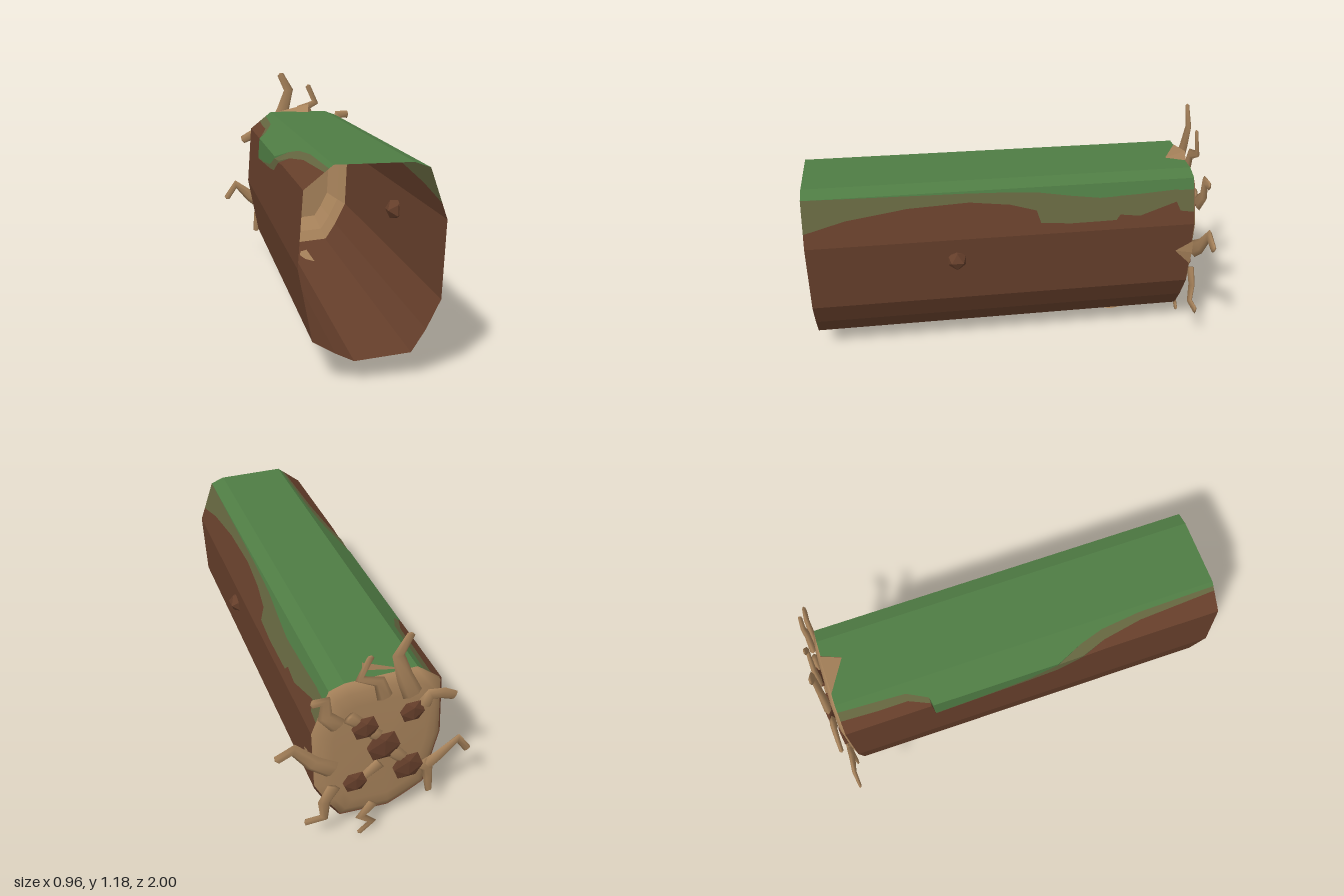
import * as THREE from 'three';

const mat = (name, color) => new THREE.MeshStandardMaterial({ name, color, side: THREE.DoubleSide });

// cross-section of the log, clockwise from the top left
const OUTLINE = [[-0.19, 0.95], [0.15, 0.95], [0.22, 0.925], [0.297, 0.7], [0.28, 0.35], [0.215, 0.22],
  [0.15, 0.12], [-0.1, 0.1], [-0.18, 0.14], [-0.28, 0.2], [-0.34, 0.52], [-0.315, 0.85]];
const CX = -0.02, CY = 0.53;

const scaled = (x, y, z, s) => [CX + (x - CX) * s, CY + (y - CY) * s, z];
// the log narrows very slightly toward the back
const onLog = (x, y, z) => scaled(x, y, z, 1 - 0.012 * (1 - z) / 1.93);

// surface through rows of points; closed joins each row's ends
function skin(rows, closed, flat) {
  const n = rows[0].length, pos = rows.flat(2), idx = [];
  for (let i = 0; i + 1 < rows.length; i++) {
    for (let j = 0; j < (closed ? n : n - 1); j++) {
      const a = i * n + j, b = i * n + (j + 1) % n, c = a + n, d = b + n;
      idx.push(a, b, c, b, d, c);
    }
  }
  let g = new THREE.BufferGeometry();
  g.setAttribute('position', new THREE.Float32BufferAttribute(pos, 3));
  g.setIndex(idx);
  if (flat) g = g.toNonIndexed();
  g.computeVertexNormals();
  return g;
}

// flattened, tapering root along a kinked path
function rootGeometry(path, r0, r1) {
  const pts = path.map(([x, y]) => new THREE.Vector2(x, y));
  const rows = [];
  const ring = (p, dir, r) => {
    const row = [];
    for (let k = 0; k < 6; k++) {
      const a = k / 6 * Math.PI * 2, s = Math.cos(a) * r;
      row.push([p.x - dir.y * s, p.y + dir.x * s, -0.977 + Math.sin(a) * r * 0.42]);
    }
    rows.push(row);
  };
  pts.forEach((p, i) => {
    const before = pts[Math.max(i - 1, 0)], after = pts[Math.min(i + 1, pts.length - 1)];
    const d1 = p.clone().sub(before).normalize(), d2 = after.clone().sub(p).normalize();
    const dir = d1.add(d2).normalize();
    const r = r0 + (r1 - r0) * i / (pts.length - 1);
    if (i === 0) ring(p, dir, 0.001);
    ring(p, dir, r);
    if (i === pts.length - 1) ring(p.clone().addScaledVector(dir, 0.008), dir, 0.001);
  });
  return skin(rows, true, false);
}

export function createModel() {
  const bark = mat('bark brown', 0x663f2b);
  const wood = mat('pale wood', 0xa8835b);
  const moss = mat('moss green', 0x4f7c44);
  const thinMoss = mat('thin olive moss', 0x64653f);
  const model = new THREE.Group();
  model.name = 'hollowLog';
  const add = (name, geometry, material, parent = model) => {
    const m = new THREE.Mesh(geometry, material);
    m.name = name;
    parent.add(m);
    return m;
  };

  // open shell: mossy top and bark underside
  const lengthwise = points => skin([1, -0.93].map(z => points.map(([x, y]) => onLog(x, y, z))), false, true);
  add('mossTop', lengthwise(OUTLINE.slice(0, 2)), moss);
  add('barkUnderside', lengthwise(OUTLINE.slice(3, 11)), bark);

  // each flank is moss, thin moss and bark in ragged bands: [z, end of moss, end of thin moss]
  const flanks = [
    { side: 'Left', corners: OUTLINE.slice(1, 4),
      edge: [[1, 0.925, 0.77], [0.8, 0.922, 0.82], [0.5, 0.918, 0.86], [0.2, 0.914, 0.872], [0, 0.908, 0.85],
        [-0.13, 0.9, 0.815], [-0.15, 0.898, 0.755], [-0.3, 0.875, 0.743], [-0.45, 0.856, 0.744], [-0.53, 0.858, 0.745],
        [-0.55, 0.86, 0.77], [-0.65, 0.863, 0.758], [-0.84, 0.874, 0.815], [-0.86, 0.87, 0.77], [-0.93, 0.87, 0.76]] },
    { side: 'Right', corners: [OUTLINE[0], OUTLINE[11], OUTLINE[10]],
      edge: [[1, 0.935, 0.92], [0.6, 0.93, 0.905], [0.4, 0.915, 0.88], [0.28, 0.89, 0.84], [0.15, 0.84, 0.78],
        [0, 0.785, 0.765], [-0.25, 0.755, 0.75], [-0.49, 0.74, 0.735], [-0.5, 0.88, 0.86], [-0.6, 0.915, 0.89],
        [-0.75, 0.92, 0.89], [-0.93, 0.925, 0.895]] },
  ];
  for (const { side, corners: [a, b, c], edge } of flanks) {
    const onSide = y => {
      const [p, q] = y > b[1] ? [a, b] : [b, c];
      return p[0] + (q[0] - p[0]) * (p[1] - y) / (p[1] - q[1]);
    };
    [['moss', moss], ['thinMoss', thinMoss], ['bark', bark]].forEach(([name, material], band) => {
      add(name + side, skin(edge.map(([z, mid, low]) => {
        const levels = [a[1], mid, low, c[1]], hi = levels[band], lo = levels[band + 1];
        return [hi, Math.min(hi, Math.max(lo, b[1])), lo].map(y => onLog(onSide(y), y, z));
      }), false, true), material);
    });
  }

  // pale wood closing the back: rounded outside, faceted bowl inside
  const loft = (steps, flat) => skin(steps.map(([s, z]) => OUTLINE.map(([x, y]) => scaled(x, y, z, s))), true, flat);
  add('rootPlate', loft([[0.98, -0.9], [0.965, -0.932], [0.86, -0.95], [0.7, -0.961], [0.001, -0.965]], false), wood);
  add('innerBowl', loft([[0.965, -0.86], [0.82, -0.89], [0.64, -0.952], [0.001, -0.952]], true), wood);

  // crooked roots around the back
  const roots = [
    [[[-0.15, 0.84], [-0.105, 0.95], [-0.068, 1.075], [-0.118, 1.172]], 0.046, 0.02],
    [[[-0.02, 0.86], [0.01, 0.955], [0.1, 0.995], [0.055, 1.098]], 0.036, 0.016],
    [[[0.19, 0.76], [0.25, 0.83], [0.25, 0.915], [0.307, 0.915]], 0.04, 0.024],
    [[[0.21, 0.5], [0.3, 0.57], [0.39, 0.68], [0.465, 0.645]], 0.045, 0.026],
    [[[0.2, 0.38], [0.245, 0.3], [0.245, 0.195], [0.333, 0.195]], 0.036, 0.023],
    [[[0.0, 0.2], [0.06, 0.13], [0.0, 0.072], [0.062, 0.017]], 0.032, 0.018],
    [[[-0.23, 0.39], [-0.265, 0.35], [-0.275, 0.28], [-0.288, 0.185]], 0.036, 0.017],
    [[[-0.26, 0.37], [-0.32, 0.41], [-0.41, 0.488], [-0.468, 0.403]], 0.042, 0.018],
    [[[-0.21, 0.76], [-0.24, 0.81], [-0.3, 0.8], [-0.36, 0.77]], 0.04, 0.024],
    // short stubs beside the knots
    [[[-0.07, 0.53], [-0.13, 0.46]], 0.036, 0.03],
    [[[-0.02, 0.46], [0.06, 0.4]], 0.036, 0.028],
    [[[0.14, 0.79], [0.09, 0.74]], 0.034, 0.028],
    [[[0.0, 0.64], [0.04, 0.68]], 0.032, 0.026],
  ];
  const rootGroup = new THREE.Group();
  rootGroup.name = 'roots';
  model.add(rootGroup);
  roots.forEach(([path, r0, r1], i) => add('root' + (i + 1), rootGeometry(path, r0, r1), wood, rootGroup));

  // flattened bark knots on the root plate
  const knots = [[0.065, 0.71, 0.07], [-0.156, 0.74, 0.064], [-0.03, 0.57, 0.09], [0.1, 0.385, 0.065], [-0.16, 0.4, 0.085]];
  knots.forEach(([x, y, r], i) => {
    const m = add('backKnot' + (i + 1), new THREE.IcosahedronGeometry(1, 0), bark);
    m.position.set(x, y, -0.982);
    m.scale.set(r, r, 0.021);
  });

  // knot on the side
  add('sideKnot', new THREE.IcosahedronGeometry(0.055, 0), bark).position.set(0.28, 0.58, 0.27);

  // pale splinters where the wood breaks through the bark
  const splinter = (name, a, b, tip, peak) =>
    add(name, skin([[a, peak, b], [tip, tip, tip]], false, true), wood);
  splinter('topSplinter', [-0.13, 0.948, -0.93], [0.07, 0.948, -0.93], [0.03, 0.95, -0.835], [0.05, 0.99, -0.93]);
  splinter('sideSplinter', [0.31, 0.61, -0.93], [0.295, 0.465, -0.93], [0.297, 0.55, -0.845], [0.308, 0.54, -0.93]);

  // worn patch underneath
  const patch = add('wornPatch', new THREE.CircleGeometry(1, 10), wood);
  patch.scale.set(0.1, 0.14, 1);
  patch.rotation.set(Math.PI / 2, Math.atan2(-0.02, 0.25), 0);
  patch.position.set(0.03, 0.109, -0.58);

  return model;
}
